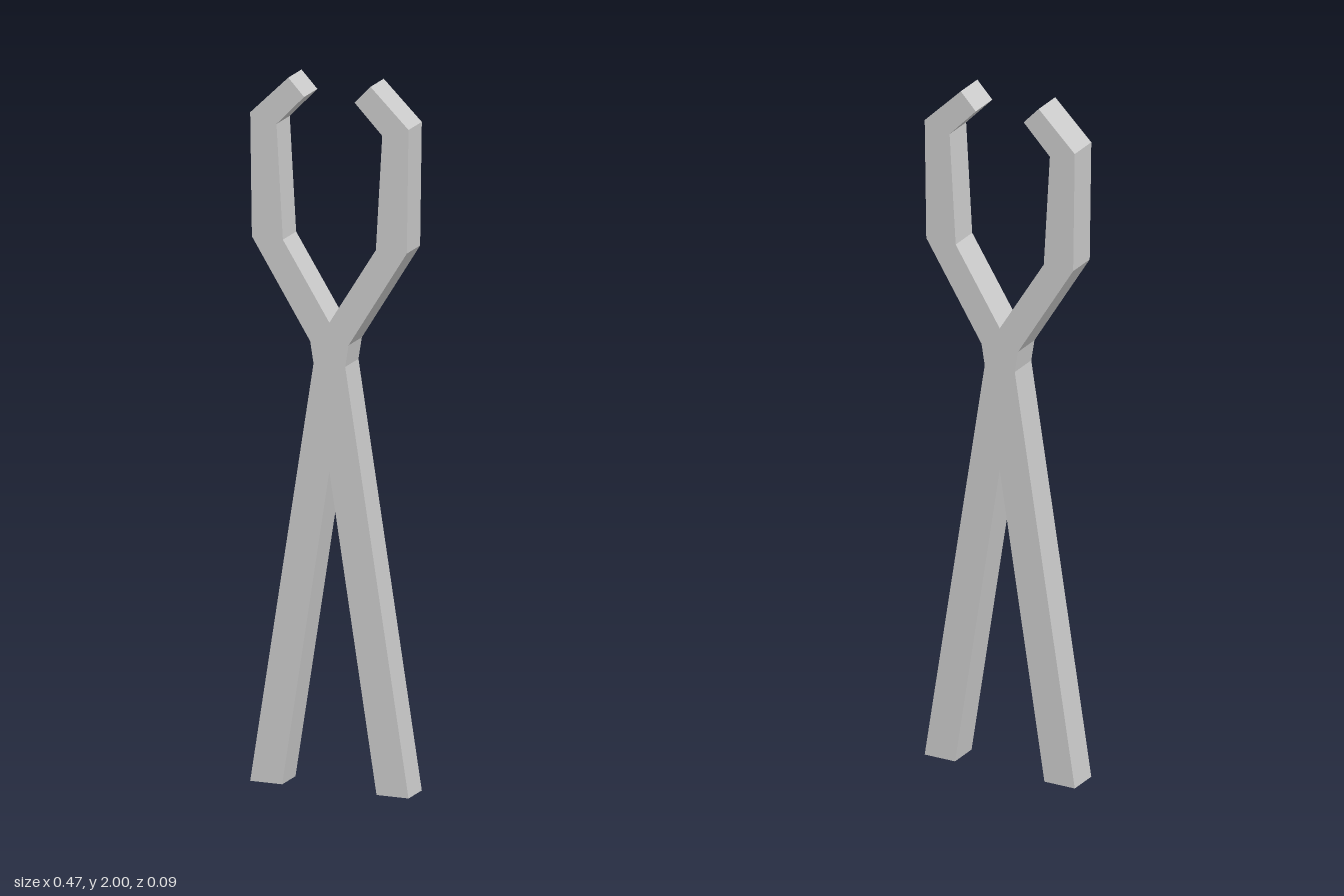
import * as THREE from 'three';

export function createModel() {
  const group = new THREE.Group();
  group.name = 'tongs';
  const depth = 0.092;

  // Left half of the outline, from the crotch between the handles
  // round the handle, waist and jaw to the notch between the jaws
  const half = [
    [0, 0.9], [0.14, 0], [0.235, 0],              // handle
    [0.047, 1.2], [0.057, 1.262],                 // waist
    [0.23, 1.54], [0.235, 1.89], [0.122, 2],      // outer jaw
    [0.075, 1.95], [0.157, 1.865], [0.138, 1.54], // tip and inner jaw
    [0, 1.32],
  ];
  const mirrored = half.slice(1, -1).reverse().map(([x, y]) => [-x, y]);
  const outline = [...half, ...mirrored].map(([x, y]) => new THREE.Vector2(x, y));

  // Both crossed arms are one flat plate
  const geometry = new THREE.ExtrudeGeometry(new THREE.Shape(outline), {
    depth, bevelEnabled: false,
  });
  geometry.translate(0, 0, -depth / 2);

  const material = new THREE.MeshStandardMaterial({ color: 0xcccccc, flatShading: true });
  const arms = new THREE.Mesh(geometry, material);
  arms.name = 'crossedArms';
  group.add(arms);
  return group;
}
